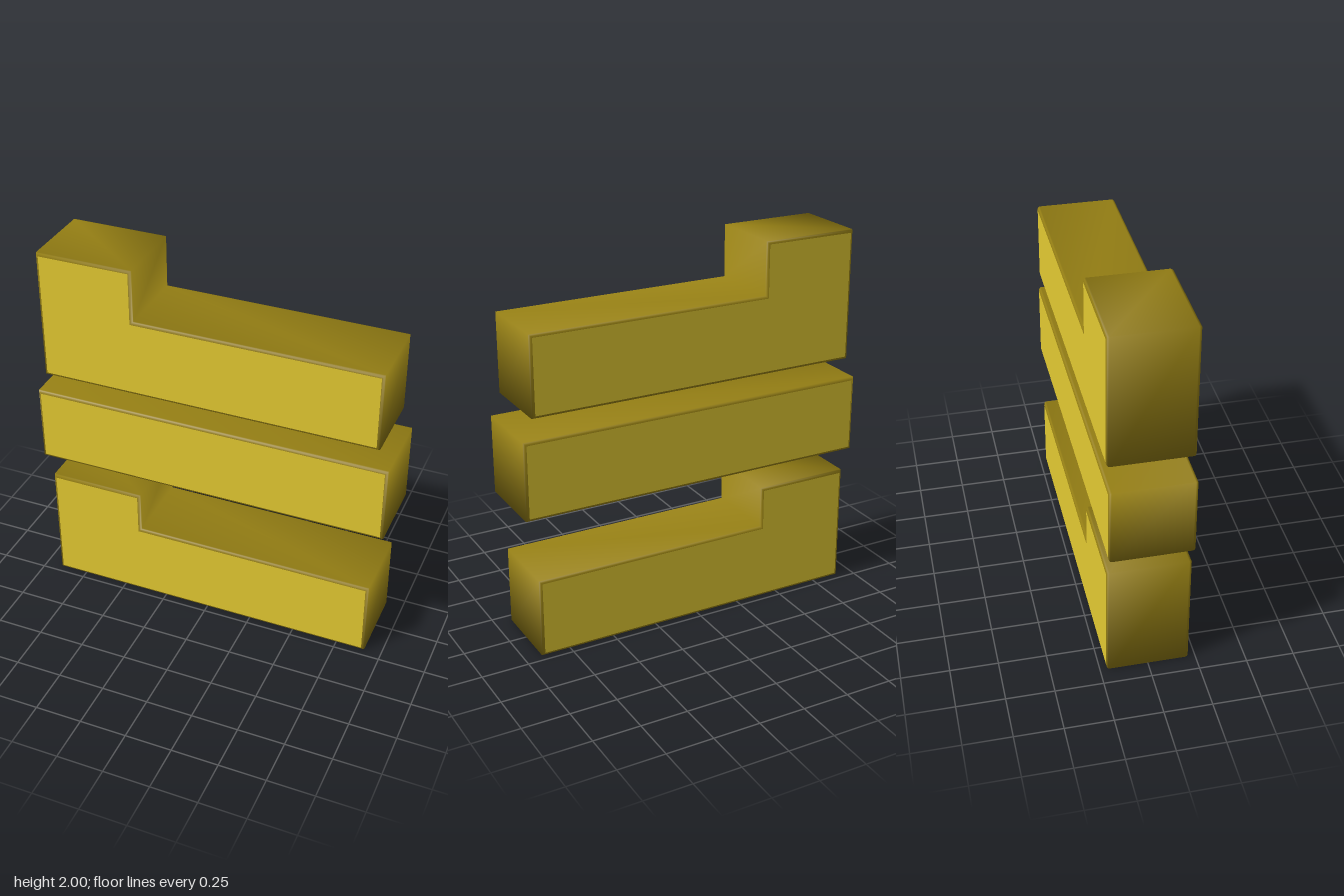
import * as THREE from 'three';
import { mergeVertices } from 'three/addons/utils/BufferGeometryUtils.js';

const BEVEL = 0.015;
const DEPTH = 0.43;

// One face group of an extrusion as its own geometry
function extract(geometry, { start, count }) {
  const part = new THREE.BufferGeometry();
  const positions = geometry.attributes.position.array.slice(start * 3, (start + count) * 3);
  part.setAttribute('position', new THREE.BufferAttribute(positions, 3));
  const merged = mergeVertices(part);
  merged.computeVertexNormals();
  return merged;
}

// Bevelled slab: bright flat faces, darker smooth-shaded rim
function slab(name, points, faceMaterial, rimMaterial) {
  const shape = new THREE.Shape(points.map(([x, y]) => new THREE.Vector2(x, y)));
  const geometry = new THREE.ExtrudeGeometry(shape, {
    depth: DEPTH - 2 * BEVEL,
    bevelEnabled: true,
    bevelThickness: BEVEL,
    bevelSize: BEVEL,
    bevelOffset: -BEVEL,
    bevelSegments: 3,
  });
  geometry.translate(0, 0, -DEPTH / 2 + BEVEL);

  const faces = new THREE.Mesh(extract(geometry, geometry.groups[0]), faceMaterial);
  faces.name = `${name}Faces`;
  const rim = new THREE.Mesh(extract(geometry, geometry.groups[1]), rimMaterial);
  rim.name = `${name}Rim`;

  const bar = new THREE.Group();
  bar.name = name;
  bar.add(faces, rim);
  return bar;
}

// L-shaped outline: a long bar with a raised block at the -x end
function stepped(bottom, ledge, top) {
  const half = 0.907, step = -0.388;
  return [[-half, bottom], [half, bottom], [half, ledge], [step, ledge], [step, top], [-half, top]];
}

export function createModel() {
  const group = new THREE.Group();
  group.name = 'stackedBars';
  const yellow = new THREE.MeshStandardMaterial({ color: 0xe5cb32 });
  yellow.name = 'yellow';
  const olive = new THREE.MeshStandardMaterial({ color: 0x957f14 });
  olive.name = 'olive';

  group.add(
    slab('lowerSteppedBar', stepped(0, 0.425, 0.65), yellow, olive),
    slab('middleBar', [[-0.959, 0.767], [0.959, 0.767], [0.959, 1.184], [-0.959, 1.184]], yellow, olive),
    slab('upperSteppedBar', stepped(1.298, 1.72, 2), yellow, olive),
  );
  return group;
}
